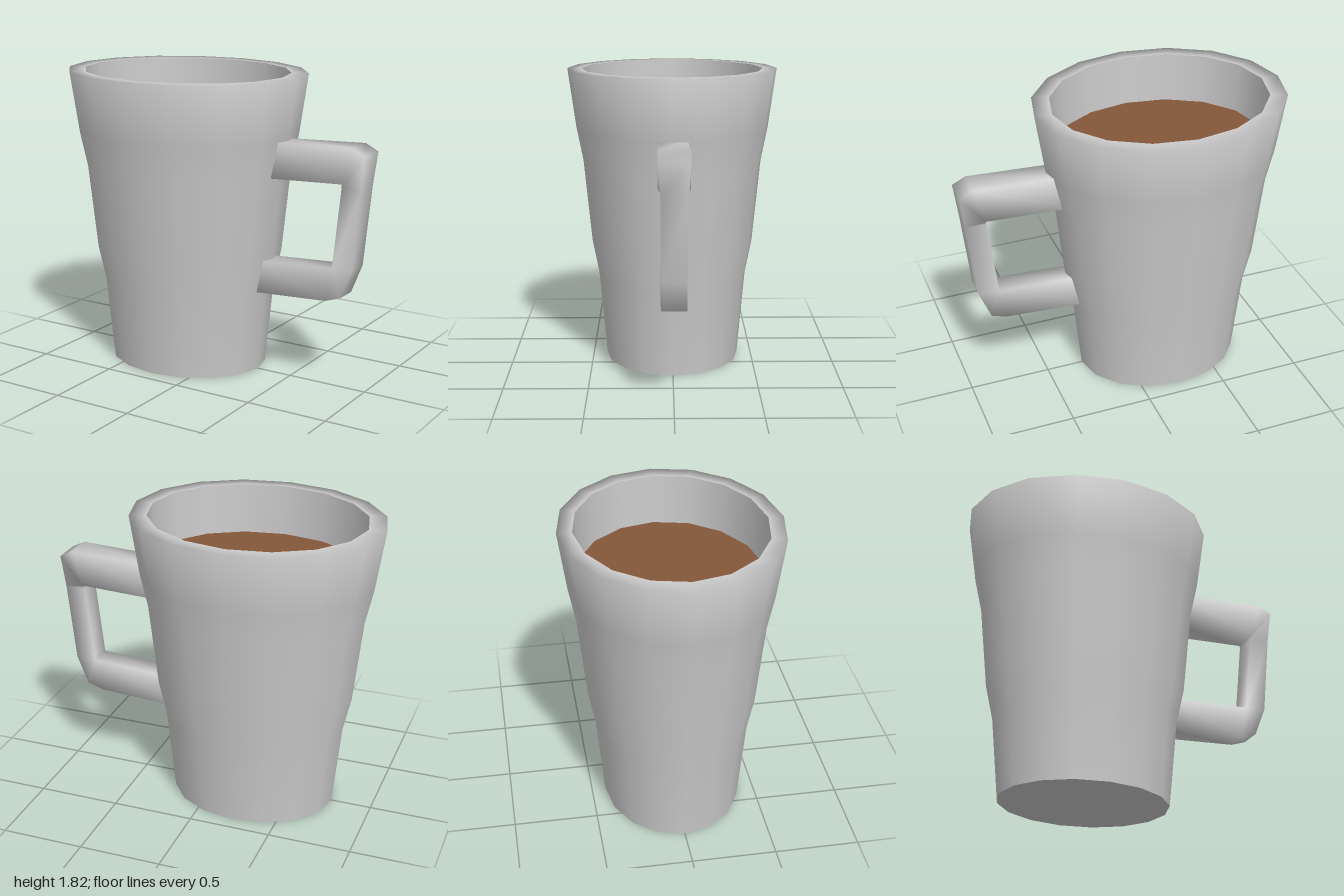
import * as THREE from 'three';
import { mergeVertices } from 'three/addons/utils/BufferGeometryUtils.js';

const SIDES = 16;
const CENTRE_X = -0.24;

// Oval section: depth is a little tighter than width, more so at the foot
const depthRatio = (y) => 0.815 + 0.019 * y;

function ovalLathe(profile) {
  const points = profile.map(([r, y]) => new THREE.Vector2(r, y));
  const geometry = new THREE.LatheGeometry(points, SIDES);
  const base = geometry.clone().attributes.position;
  geometry.scale(1, 1, 0.84); // adapts the smooth normals
  const pos = geometry.attributes.position;
  for (let i = 0; i < pos.count; i++) {
    pos.setZ(i, base.getZ(i) * depthRatio(base.getY(i)));
  }
  geometry.translate(CENTRE_X, 0, 0);
  return geometry;
}

// Four-cornered sections [inner x, inner y, outer x, outer y, half width] joined into a bar
function barGeometry(stations) {
  const positions = [];
  const index = [];
  for (const [ix, iy, ox, oy, w] of stations) {
    positions.push(ix, iy, w, ox, oy, w, ox, oy, -w, ix, iy, -w);
  }
  for (let s = 0; s < stations.length - 1; s++) {
    for (let k = 0; k < 4; k++) {
      const a = s * 4 + k;
      const b = s * 4 + ((k + 1) % 4);
      index.push(a, b, a + 4, b, b + 4, a + 4);
    }
  }
  // Winding is set so that the faces point away from the bar
  for (let i = 0; i < index.length; i += 3) {
    [index[i + 1], index[i + 2]] = [index[i + 2], index[i + 1]];
  }
  const geometry = new THREE.BufferGeometry();
  geometry.setAttribute('position', new THREE.Float32BufferAttribute(positions, 3));
  geometry.setIndex(index);
  const merged = mergeVertices(geometry);
  merged.computeVertexNormals();
  return merged;
}

export function createModel() {
  const model = new THREE.Group();
  model.name = 'mug';

  const ceramic = new THREE.MeshStandardMaterial({ color: 0xcccccc });
  ceramic.name = 'grey ceramic';
  ceramic.side = THREE.DoubleSide;
  const coffee = new THREE.MeshStandardMaterial({ color: 0x85583a });
  coffee.name = 'coffee brown';

  const add = (name, geometry, material) => {
    const mesh = new THREE.Mesh(geometry, material);
    mesh.name = name;
    model.add(mesh);
  };

  // Outer wall with the flat rim
  add('outerWall', ovalLathe([
    [0.51, 0], [0.56, 0.52], [0.607, 0.73], [0.66, 1.24],
    [0.706, 1.45], [0.76, 1.815], [0.655, 1.815],
  ]), ceramic);

  // Inner wall down to the drink
  add('innerWall', ovalLathe([[0.655, 1.815], [0.645, 1.48]]), ceramic);

  // Underside
  add('base', ovalLathe([[0, 0], [0.51, 0]]), ceramic);

  // Drink surface
  add('drink', ovalLathe([[0.652, 1.51], [0, 1.51]]), coffee);

  // Squared handle: top bar, grip, then bottom bar
  add('handle', barGeometry([
    [0.33, 1.23, 0.33, 1.445, 0.085],
    [0.86, 1.255, 0.92, 1.47, 0.09],
    [0.86, 1.255, 1.0, 1.43, 0.09],
    [0.855, 1.23, 0.978, 1.23, 0.075],
    [0.803, 0.745, 0.93, 0.75, 0.073],
    [0.803, 0.745, 0.86, 0.575, 0.073],
    [0.803, 0.745, 0.765, 0.543, 0.073],
    [0.27, 0.715, 0.24, 0.515, 0.075],
  ]), ceramic);

  return model;
}
